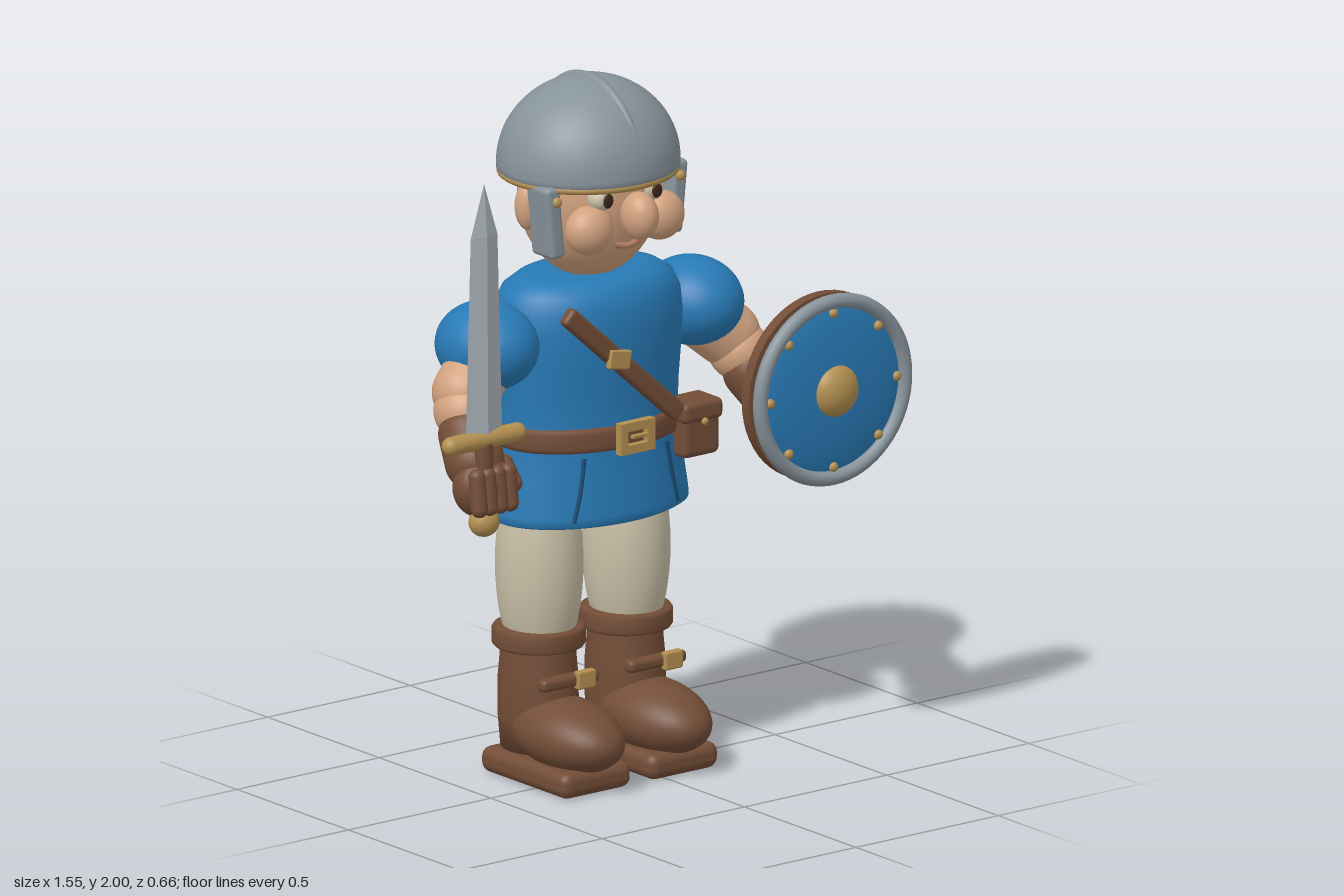
import * as THREE from 'three';
import { RoundedBoxGeometry } from 'three/addons/geometries/RoundedBoxGeometry.js';

const V = (a) => new THREE.Vector3(...a);
const paint = (name, color) => {
  const m = new THREE.MeshStandardMaterial({ color });
  m.name = name;
  return m;
};

export function createModel() {
  const steel = paint('steel', 0x87939b), blade = paint('blade steel', 0xa9b3b9);
  const blue = paint('tunic blue', 0x287ab6), navy = paint('pleat blue', 0x174a75);
  const leather = paint('leather', 0x734d37), gold = paint('brass', 0xb28f50);
  const skin = paint('skin', 0xd2a27f), cloth = paint('pale cloth', 0xc8bfa6);
  const dark = paint('eye brown', 0x3b2517), lip = paint('lip', 0xb47c62);

  const root = new THREE.Group();
  root.name = 'guard';
  // The body axis sits left of the middle because of the shield
  const body = new THREE.Group();
  body.name = 'figure';
  body.position.x = -0.09;
  root.add(body);

  const add = (name, geo, mat, pos = [0, 0, 0], rot = [0, 0, 0]) => {
    const m = new THREE.Mesh(geo, mat);
    m.name = name;
    m.position.set(...pos);
    m.rotation.set(...rot);
    body.add(m);
    return m;
  };
  const ball = (name, mat, r, pos, rot) => {
    const m = add(name, new THREE.SphereGeometry(1, 36, 24), mat, pos, rot);
    m.scale.set(...r);
    return m;
  };
  const box = (name, mat, size, pos, rot, r = 0.012) =>
    add(name, new RoundedBoxGeometry(...size, 3, r), mat, pos, rot);
  const lathe = (name, mat, pts, pos, scale = [1, 1, 1]) => {
    const m = add(name, new THREE.LatheGeometry(pts.map((p) => new THREE.Vector2(...p)), 56), mat, pos);
    m.scale.set(...scale);
    return m;
  };
  const capsule = (name, mat, a, b, r) => {
    const p = V(a), d = V(b).sub(p);
    const m = add(name, new THREE.CapsuleGeometry(r, d.length(), 10, 28), mat, p.clone().addScaledVector(d, 0.5).toArray());
    m.quaternion.setFromUnitVectors(new THREE.Vector3(0, 1, 0), d.normalize());
    return m;
  };
  // Rectangular frame with a square opening
  const frame = (name, w, h, t, depth, pos, rot) => {
    const rect = (s, x, y) => s.moveTo(-x, -y).lineTo(x, -y).lineTo(x, y).lineTo(-x, y).closePath();
    const s = rect(new THREE.Shape(), w / 2, h / 2);
    s.holes.push(rect(new THREE.Path(), w / 2 - t, h / 2 - t));
    return add(name, new THREE.ExtrudeGeometry(s, { depth, bevelEnabled: false }), gold, pos, rot);
  };

  // Tunic
  lathe('tunic', blue, [[0, 0.75], [0.3, 0.75], [0.316, 0.757], [0.314, 0.78], [0.297, 0.89], [0.281, 1.0], [0.285, 1.1],
    [0.295, 1.22], [0.298, 1.3], [0.29, 1.36], [0.268, 1.405], [0.225, 1.432], [0.18, 1.44], [0, 1.44]], [0, 0, -0.09], [1, 1, 0.67]);
  lathe('belt', leather, [[0.27, 0.965], [0.287, 0.967], [0.293, 0.98], [0.293, 1.018], [0.287, 1.031], [0.27, 1.033]],
    [0, 0, -0.085], [1, 1, 0.7]);
  frame('beltBuckle', 0.12, 0.09, 0.025, 0.025, [0, 1.0, 0.115]);
  box('buckleTongue', gold, [0.055, 0.012, 0.012], [0.01, 1.0, 0.13], [0, 0, 0], 0.004);
  for (const s of [-1, 1]) {
    const c = new THREE.CatmullRomCurve3([[0.145, 0.95, 0.082], [0.16, 0.86, 0.085], [0.182, 0.77, 0.083]].map(([x, y, z]) => V([x * s, y, z])));
    add('skirtPleat', new THREE.TubeGeometry(c, 12, 0.006, 6), navy);
  }

  // Shoulder strap and pouch
  const tilt = Math.atan2(-0.35, 0.39);
  box('shoulderStrap', leather, [0.53, 0.055, 0.035], [-0.045, 1.215, 0.125], [0, 0, tilt]);
  box('strapBuckle', gold, [0.075, 0.055, 0.02], [-0.07, 1.237, 0.142], [0, 0, tilt / 4], 0.006);
  box('pouch', leather, [0.13, 0.15, 0.1], [0.25, 0.965, 0.06], [0, 0, 0], 0.02);
  box('pouchFlap', leather, [0.14, 0.06, 0.115], [0.25, 1.022, 0.062], [0, 0, 0], 0.018);
  ball('pouchButton', gold, [0.011, 0.011, 0.008], [0.25, 0.995, 0.12]);

  // Head and face
  ball('head', skin, [0.21, 0.25, 0.185], [0, 1.67, -0.08]);
  ball('nose', skin, [0.05, 0.068, 0.06], [0, 1.64, 0.145]);
  add('mouth', new THREE.TubeGeometry(new THREE.CatmullRomCurve3([V([-0.042, 1.55, 0.088]), V([0, 1.543, 0.094]), V([0.042, 1.55, 0.088])]), 12, 0.009, 8), lip);

  // Helmet
  const dome = [[0, 1.73], [0.255, 1.73], [0.262, 1.737]];
  for (let i = 0; i <= 20; i++) {
    const a = (i / 20) * Math.PI / 2;
    dome.push([0.262 * Math.cos(a), 1.75 + 0.242 * Math.sin(a)]);
  }
  lathe('helmet', steel, dome, [0, 0, -0.085], [1, 1, 0.935]);
  const rim = add('helmetRim', new THREE.TorusGeometry(0.25, 0.011, 10, 56), gold, [0, 1.728, -0.085], [Math.PI / 2, 0, 0]);
  rim.scale.y = 0.935;
  const crest = add('helmetRidge', new THREE.TorusGeometry(0.242, 0.015, 10, 48, Math.PI), steel, [0, 1.745, -0.085], [0, Math.PI / 2, 0]);
  crest.scale.set(0.95, 1, 1);

  // Limbs and face parts, both sides
  for (const s of [-1, 1]) {
    ball('ear', skin, [0.04, 0.07, 0.037], [0.222 * s, 1.66, -0.07]);
    ball('cheek', skin, [0.072, 0.07, 0.06], [0.125 * s, 1.605, 0.078]);
    ball('eye', cloth, [0.038, 0.036, 0.036], [0.088 * s, 1.69, 0.08]);
    ball('iris', dark, [0.017, 0.021, 0.007], [0.086 * s, 1.69, 0.114]);
    box('cheekGuard', steel, [0.05, 0.21, 0.1], [0.216 * s, 1.633, 0], [0, 0, -0.1 * s], 0.015);
    ball('cheekGuardRivet', gold, [0.015, 0.015, 0.012], [0.217 * s, 1.695, 0.052]);

    ball('sleeve', blue, [0.138, 0.125, 0.157], [0.36 * s, 1.28, -0.08]);
    capsule('upperArm', skin, [0.39 * s, 1.23, -0.07], [0.46 * s, 1.17, -0.05], 0.093);
    ball('elbow', skin, [0.085, 0.085, 0.09], [0.482 * s, 1.125, -0.025]);
    capsule('bracer', leather, [0.5 * s, 1.07, 0.015], [0.525 * s, 1.01, 0.075], 0.084);
    ball('hand', leather, [0.095, 0.09, 0.07], [0.525 * s, 0.95, 0.115]);
    for (let i = 0; i < 4; i++) {
      const x = (0.476 + i * 0.036) * s;
      capsule('finger', leather, [x, 0.995, 0.16], [x, 0.905, 0.172], 0.024);
    }
    capsule('thumb', leather, [0.45 * s, 1.0, 0.11], [0.445 * s, 0.95, 0.145], 0.026);

    // Leg and boot
    const x = 0.153 * s;
    ball('trouserLeg', cloth, [0.12, 0.33, 0.127], [x, 0.61, -0.11]);
    lathe('bootCuff', leather, [[0, 0.375], [0.125, 0.375], [0.131, 0.383], [0.131, 0.422], [0.125, 0.431], [0.1, 0.433], [0, 0.433]], [x, 0, -0.112]);
    lathe('bootShaft', leather, [[0, 0.08], [0.1, 0.08], [0.108, 0.18], [0.107, 0.28], [0.102, 0.34], [0.1, 0.39]], [x, 0, -0.115], [1, 1, 1.12]);
    ball('bootFoot', leather, [0.128, 0.1, 0.205], [x, 0.145, 0.015], [0.06, 0, 0]);
    box('bootSole', leather, [0.244, 0.075, 0.39], [x, 0.0375, -0.035], [0, 0, 0], 0.03);
    box('bootStrap', leather, [0.2, 0.036, 0.04], [x, 0.298, 0.02], [0, 0, 0], 0.014);
    box('bootBuckle', gold, [0.062, 0.052, 0.025], [x + 0.045, 0.298, 0.038], [0, 0, 0], 0.006);
  }

  // Sword
  const sx = -0.547, sz = 0.145;
  const facet = (geo) => {
    const g = geo.toNonIndexed();
    g.computeVertexNormals();
    return g;
  };
  for (const [name, top, bottom, y0, y1] of [['swordBlade', 0.047, 0.064, 1.1, 1.68], ['swordTip', 0.0005, 0.047, 1.68, 1.83]]) {
    const g = new THREE.CylinderGeometry(top, bottom, y1 - y0, 4, 1).scale(1, 1, 0.3);
    add(name, facet(g), blade, [sx, (y0 + y1) / 2, sz]);
  }
  capsule('swordGuard', gold, [sx - 0.115, 1.095, sz], [sx + 0.115, 1.095, sz], 0.027);
  add('swordGrip', new THREE.CylinderGeometry(0.026, 0.026, 0.24, 20), leather, [sx, 0.975, sz]);
  ball('swordPommel', gold, [0.045, 0.042, 0.04], [sx, 0.857, sz]);

  // Shield
  const hx = 0.582, hy = 1.06, flat = [Math.PI / 2, 0, 0];
  add('shieldBack', new THREE.CylinderGeometry(0.269, 0.269, 0.033, 56), leather, [hx, hy, 0.22], flat);
  add('shieldCore', new THREE.CylinderGeometry(0.252, 0.252, 0.02, 56), blue, [hx, hy, 0.245], flat);
  ball('shieldFace', blue, [0.255, 0.255, 0.04], [hx, hy, 0.25]);
  add('shieldRim', new THREE.TorusGeometry(0.254, 0.021, 14, 64), steel, [hx, hy, 0.268]);
  ball('shieldBoss', gold, [0.075, 0.075, 0.05], [hx, hy, 0.277]);
  for (let i = 0; i < 8; i++) {
    const a = (i * Math.PI) / 4;
    ball('shieldRivet', gold, [0.014, 0.014, 0.012], [hx + 0.222 * Math.cos(a), hy + 0.222 * Math.sin(a), 0.272]);
  }
  return root;
}
